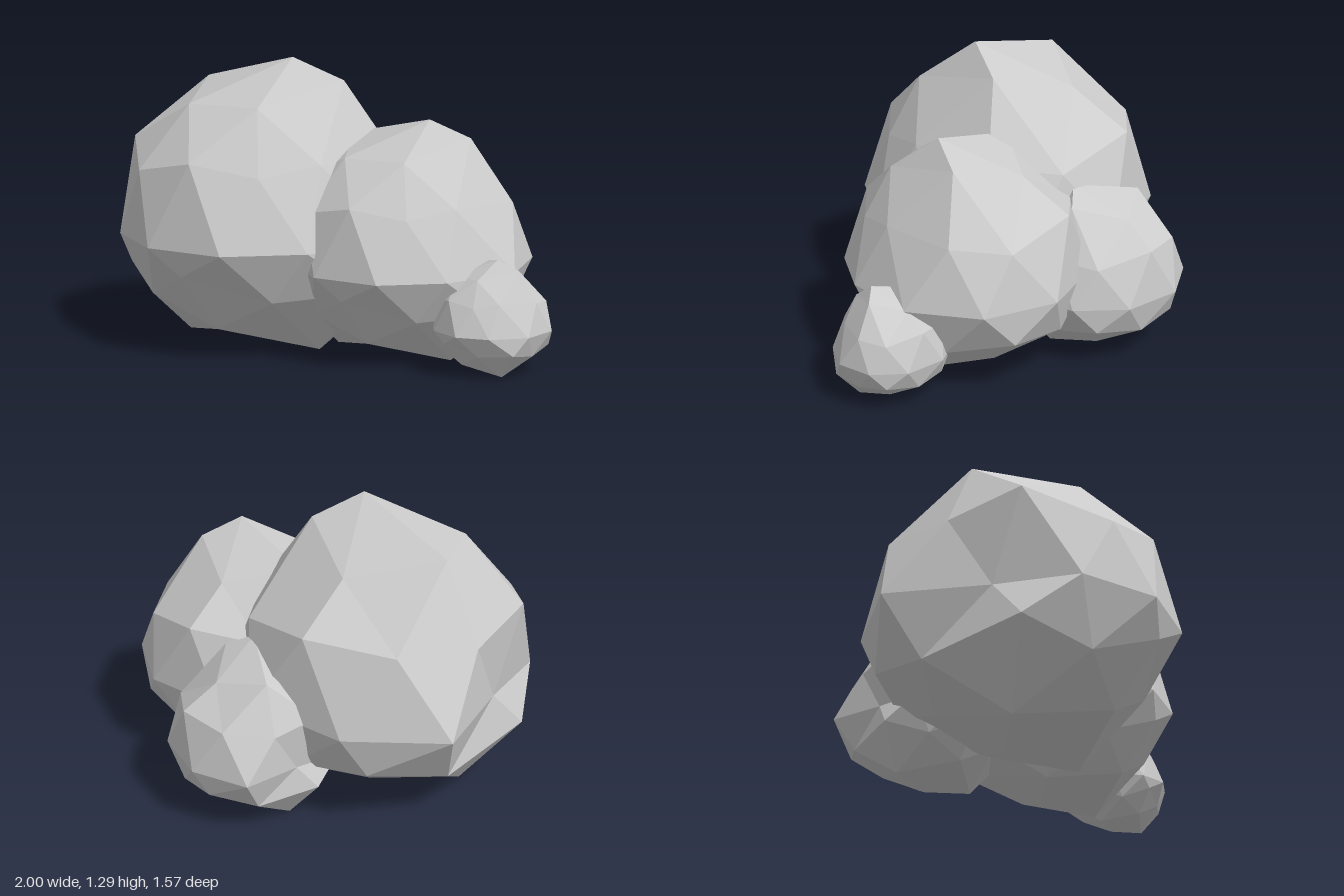
import * as THREE from 'three';

// One faceted boulder as rings of points, listed left to right as seen from outside.
const TOP = [0.14, 0.79, 0.11];
const BASE = [0.02, -0.5, -0.08];
const CROWN = [[0.07, 0.59, 0.39], [0.34, 0.68, -0.01], [0.05, 0.57, -0.33], [-0.36, 0.67, -0.17], [-0.28, 0.59, 0.29]];
const SHOULDER = [
  [0.12, 0.31, 0.53], [0.34, 0.35, 0.35], [0.57, 0.34, -0.03], [0.49, 0.30, -0.35], [0.12, 0.39, -0.59],
  [-0.29, 0.36, -0.54], [-0.54, 0.32, -0.24], [-0.63, 0.41, 0.08], [-0.46, 0.31, 0.44], [-0.17, 0.37, 0.59],
];
// The waist is level, so only x and z are given
const WAIST = [
  [0, 0.69], [0.34, 0.54], [0.63, 0.20], [0.65, -0.23], [0.38, -0.57],
  [-0.10, -0.69], [-0.54, -0.51], [-0.56, -0.05], [-0.61, 0.32], [-0.36, 0.60],
].map(([x, z]) => [x, 0, z]);
const SKIRT = [
  [0.17, -0.23, 0.51], [0.53, -0.2, 0.34], [0.55, -0.26, 0], [0.52, -0.2, -0.37], [0.18, -0.25, -0.56],
  [-0.19, -0.2, -0.6], [-0.47, -0.27, -0.35], [-0.66, -0.18, 0.08], [-0.45, -0.26, 0.34], [-0.21, -0.12, 0.60],
];
const FOOT = [[0.29, -0.5, 0.21], [0.27, -0.41, -0.21], [-0.11, -0.37, -0.36], [-0.40, -0.5, 0.01], [-0.12, -0.39, 0.40]];

// Stitches the rings in the pattern of a once-divided icosahedron
function boulderGeometry() {
  const pos = [];
  const tri = (a, b, c) => pos.push(...a, ...b, ...c);
  const at = (ring, i) => ring[(i + ring.length) % ring.length];

  for (let k = 0; k < 5; k++) {
    const b = at(CROWN, k), bNext = at(CROWN, k + 1);
    const f = at(FOOT, k), fNext = at(FOOT, k + 1);
    const u = (i) => at(SHOULDER, 2 * k + i);
    const l = (i) => at(SKIRT, 2 * k + i);
    // cap
    tri(TOP, b, bNext);
    tri(b, u(0), u(1));
    tri(b, u(-1), u(0));
    tri(b, u(1), bNext);
    // underside
    tri(f, l(1), l(0));
    tri(f, l(2), l(1));
    tri(f, fNext, l(2));
    tri(BASE, fNext, f);
  }
  // bands above and below the waist
  for (let j = 0; j < 10; j++) {
    const w = at(WAIST, j), wNext = at(WAIST, j + 1);
    tri(at(SHOULDER, j), w, wNext);
    tri(at(SHOULDER, j), wNext, at(SHOULDER, j + 1));
    tri(w, at(SKIRT, j), wNext);
    tri(wNext, at(SKIRT, j), at(SKIRT, j + 1));
  }

  const geometry = new THREE.BufferGeometry();
  geometry.setAttribute('position', new THREE.Float32BufferAttribute(pos, 3));
  geometry.computeVertexNormals();
  return geometry;
}

export function createModel() {
  const group = new THREE.Group();
  group.name = 'boulderCluster';
  const geometry = boulderGeometry();
  const material = new THREE.MeshStandardMaterial({ color: 0xcccccc, flatShading: true });

  // name, centre x, centre z, scale, turn
  const boulders = [
    ['largeBoulder', -0.34, 0.09, 1, 0],
    ['mediumBoulder', 0.317, 0.15, 0.806, 0],
    ['backBoulder', 0.06, -0.392, 0.575, -0.44],
    ['smallBoulder', 0.745, 0.40, 0.378, -0.42],
  ];
  for (const [name, x, z, scale, turn] of boulders) {
    const boulder = new THREE.Mesh(geometry, material);
    boulder.name = name;
    boulder.position.set(x, 0.5 * scale, z);
    boulder.scale.setScalar(scale);
    boulder.rotation.y = turn;
    group.add(boulder);
  }
  return group;
}
